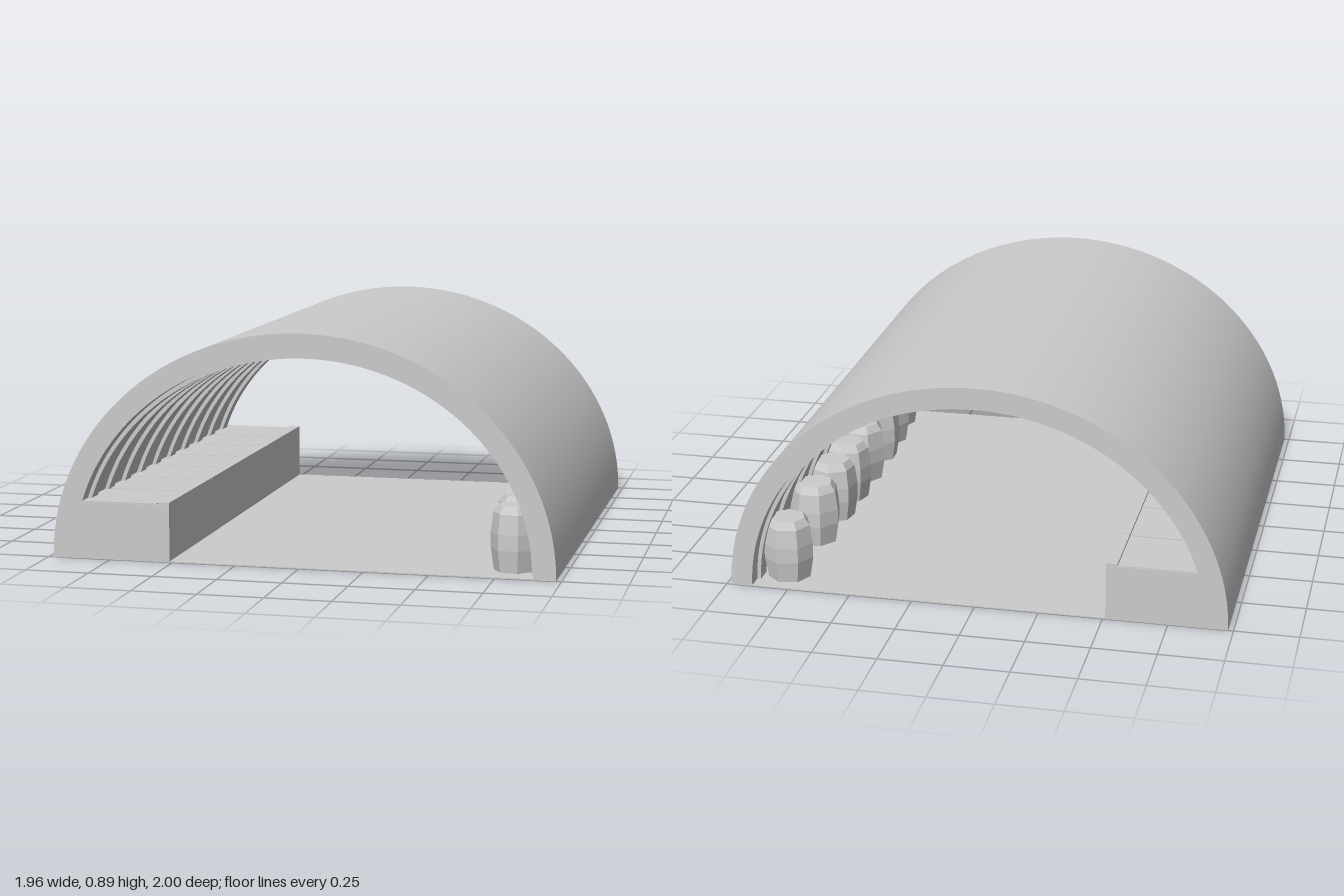
import * as THREE from 'three';
import { toCreasedNormals } from 'three/addons/utils/BufferGeometryUtils.js';

const material = new THREE.MeshStandardMaterial({ color: 0xcccccc });
const flat = new THREE.MeshStandardMaterial({ color: 0xcccccc, flatShading: true });

// Half-elliptical band from outer radii to inner radii, extruded along z
function archGeometry(outX, outY, inX, inY, depth) {
  const shape = new THREE.Shape();
  shape.moveTo(outX, 0);
  shape.absellipse(0, 0, outX, outY, 0, Math.PI, false);
  shape.lineTo(-inX, 0);
  shape.absellipse(0, 0, inX, inY, Math.PI, 0, true);
  shape.closePath();
  const geo = new THREE.ExtrudeGeometry(shape, { depth, bevelEnabled: false, curveSegments: 48 });
  geo.translate(0, 0, -depth / 2);
  return toCreasedNormals(geo, 0.5);
}

export function createModel() {
  const root = new THREE.Group();
  const add = (name, geo, x = 0, y = 0, z = 0, mat = material, parent = root) => {
    const mesh = new THREE.Mesh(geo, mat);
    mesh.name = name;
    mesh.position.set(x, y, z);
    parent.add(mesh);
    return mesh;
  };

  // Vaulted shell and thin floor
  add('tunnelShell', archGeometry(0.98, 0.895, 0.895, 0.81, 2));
  add('floor', new THREE.BoxGeometry(1.8, 0.004, 2), 0, 0.002, 0);

  // Ribs lining the vault
  const ribs = new THREE.Group();
  ribs.name = 'vaultRibs';
  root.add(ribs);
  const ribGeo = archGeometry(0.9, 0.815, 0.88, 0.793, 0.07);
  const ribCount = 10;
  for (let i = 0; i < ribCount; i++) {
    add('rib', ribGeo, 0, 0, -0.9 + (1.8 * i) / (ribCount - 1), material, ribs);
  }

  // Raised platform along one wall, with paving and a kerb
  const platform = new THREE.Group();
  platform.name = 'platform';
  root.add(platform);
  add('platformBase', new THREE.BoxGeometry(0.4, 0.222, 2), -0.71, 0.111, 0, material, platform);
  const tiles = 7;
  const pitch = 2 / tiles;
  for (let i = 0; i < tiles; i++) {
    const z = -1 + pitch * (i + 0.5);
    add('pavingSlab', new THREE.BoxGeometry(0.32, 0.006, pitch - 0.008), -0.722, 0.223, z, material, platform);
    add('kerbStone', new THREE.BoxGeometry(0.044, 0.014, pitch - 0.004), -0.532, 0.225, z, material, platform);
  }

  // Faceted barrels lined up along the opposite wall: x, z, turn, size
  const profile = [[0, 0], [0.085, 0], [0.1, 0.09], [0.1, 0.15], [0.09, 0.225], [0.07, 0.255], [0, 0.255]]
    .map(([r, y]) => new THREE.Vector2(r, y));
  const barrelGeo = new THREE.LatheGeometry(profile, 7);
  const barrels = new THREE.Group();
  barrels.name = 'barrels';
  root.add(barrels);
  const spots = [
    [0.78, -0.87, 0.2, 0.98], [0.78, -0.51, 0.9, 1.02], [0.78, -0.26, 0.5, 1], [0.78, -0.05, 1.3, 1],
    [0.78, 0.18, 0.1, 1.02], [0.78, 0.42, 0.7, 1], [0.79, 0.63, 1.1, 0.98], [0.8, 0.85, 0.3, 0.9],
  ];
  for (const [x, z, turn, size] of spots) {
    const barrel = add('barrel', barrelGeo, x, 0, z, flat, barrels);
    barrel.rotation.y = turn;
    barrel.scale.set(size, 1, size);
  }
  return root;
}
